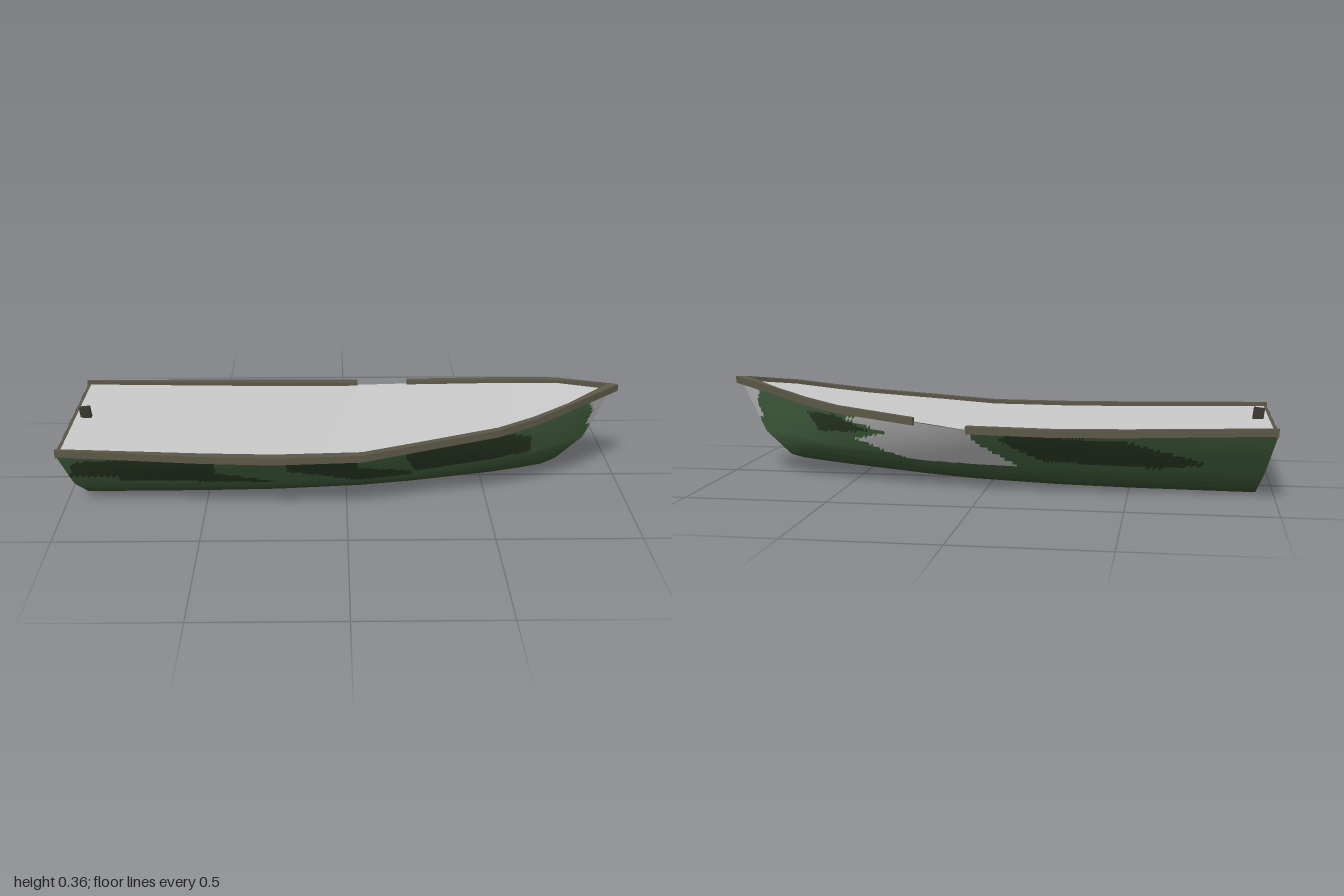
import * as THREE from 'three';

// Sheet through rows of [x, y, z] points, smooth or faceted
function loft(rows, flat = false) {
  const C = rows[0].length, index = [];
  for (let r = 0; r < rows.length - 1; r++)
    for (let c = 0; c < C - 1; c++) {
      const a = r * C + c;
      index.push(a, a + 1, a + C, a + 1, a + C + 1, a + C);
    }
  let g = new THREE.BufferGeometry();
  g.setAttribute('position', new THREE.Float32BufferAttribute(rows.flat(2), 3));
  g.setIndex(index);
  if (flat) g = g.toNonIndexed();
  g.computeVertexNormals();
  return g;
}

function mesh(geometry, color, name) {
  const m = new THREE.Mesh(geometry, new THREE.MeshStandardMaterial({ color, side: THREE.DoubleSide }));
  m.name = name;
  return m;
}

function inside(poly, x, y) {
  let hit = false;
  for (let i = 0, j = poly.length - 1; i < poly.length; j = i++) {
    const [xi, yi] = poly[i], [xj, yj] = poly[j];
    if ((yi > y) !== (yj > y) && x < ((xj - xi) * (y - yi)) / (yj - yi) + xi) hit = !hit;
  }
  return hit;
}

// Stations from stern to bow; each is bottom, bilge and sheer as [x, y, half width]
const stations = [
  [[-0.94, 0.002, 0.12], [-0.962, 0.09, 0.235], [-1, 0.245, 0.325]],
  [[-0.5, 0.006, 0.125], [-0.5, 0.093, 0.242], [-0.5, 0.232, 0.338]],
  [[-0.25, 0.011, 0.127], [-0.25, 0.097, 0.245], [-0.25, 0.228, 0.342]],
  [[0.05, 0.022, 0.122], [0.05, 0.103, 0.24], [0.05, 0.231, 0.333]],
  [[0.24, 0.034, 0.112], [0.24, 0.115, 0.218], [0.24, 0.25, 0.297]],
  [[0.53, 0.055, 0.085], [0.53, 0.138, 0.172], [0.53, 0.278, 0.236]],
  [[0.64, 0.062, 0.065], [0.65, 0.152, 0.135], [0.66, 0.298, 0.188]],
  [[0.72, 0.066, 0.042], [0.76, 0.165, 0.085], [0.79, 0.322, 0.124]],
  [[0.78, 0.07, 0], [0.875, 0.155, 0], [0.97, 0.348, 0]],
];

// Painted patches as [x, y] outlines on each side
const darkLeft = [
  [[-0.97, 0.13], [-0.95, 0.2], [-0.8, 0.22], [-0.8, 0.13]],
  [[-0.8, 0.11], [-0.8, 0.22], [-0.46, 0.22], [-0.46, 0.1]],
  [[-0.46, 0.1], [-0.46, 0.15], [-0.25, 0.1]],
  [[-0.21, 0.16], [-0.21, 0.22], [0.04, 0.22], [0.04, 0.1]],
  [[0.04, 0.1], [0.04, 0.17], [0.23, 0.13], [0.23, 0.11]],
  [[0.2, 0.22], [0.24, 0.13], [0.66, 0.16], [0.66, 0.23], [0.55, 0.27], [0.35, 0.25]],
];
const darkRight = [
  [[-0.05, 0.2], [-0.2, 0.12], [-0.6, 0.1], [-0.78, 0.12], [-0.5, 0.2], [-0.1, 0.22]],
  [[0.42, 0.2], [0.62, 0.19], [0.66, 0.26], [0.55, 0.26]],
];
const greyRight = [
  [0.53, 0.25], [0.35, 0.2], [0.48, 0.17], [0.28, 0.1], [-0.12, 0.09], [0.03, 0.19], [0.05, 0.25], [0.24, 0.27],
];
const greyBow = [[0.86, 0.36], [0.9, 0.27], [0.88, 0.22], [0.92, 0.18], [1, 0.36]];

const GREY = 0xcccccc, GREEN = 0x4a6a46, DARK = 0x2f4029, OLIVE = 0x2c2a16, RAIL = 0x5c5848;

function paint(x, y, z, height) {
  if (inside(greyBow, x, y) || (z < 0 && inside(greyRight, x, y))) return GREY;
  if ((z > 0 ? darkLeft : darkRight).some((p) => inside(p, x, y))) return DARK;
  // Green fades to olive towards the bottom in narrow bands
  const t = Math.round(THREE.MathUtils.clamp(height / 0.65, 0, 1) * 12) / 12;
  return new THREE.Color(OLIVE).lerp(new THREE.Color(GREEN), t).getHex();
}

function buildHull() {
  const hull = new THREE.Group();
  hull.name = 'hull';
  // Coarse shell, sheer to sheer under the keel
  const rows = stations.map((s) => [
    ...[s[2], s[1], s[0]].map(([x, y, w]) => [x, y, w]),
    [s[0][0], s[0][1], 0],
    ...s.map(([x, y, w]) => [x, y, -w]),
  ]);
  const coarse = loft(rows), P = coarse.attributes.position, N = coarse.attributes.normal;
  const C = 7, U = 22, V = 10, R = (stations.length - 1) * U, W = (C - 1) * V + 1;
  const pos = [], nor = [];
  // Refine it so the paint has clean borders
  const sample = (attr, u, v, out) => {
    const r = Math.min(Math.floor(u), stations.length - 2), c = Math.min(Math.floor(v), C - 2);
    const at = (i, j) => new THREE.Vector3().fromBufferAttribute(attr, i * C + j);
    const a = at(r, c).lerp(at(r, c + 1), v - c), b = at(r + 1, c).lerp(at(r + 1, c + 1), v - c);
    out.push(...a.lerp(b, u - r).toArray());
  };
  for (let r = 0; r <= R; r++)
    for (let c = 0; c < W; c++) {
      sample(P, r / U, c / V, pos);
      sample(N, r / U, c / V, nor);
    }
  const byColor = new Map();
  for (let r = 0; r < R; r++)
    for (let c = 0; c < W - 1; c++) {
      const a = r * W + c;
      const height = Math.abs(c + 0.5 - (W - 1) / 2) / ((W - 1) / 2);
      for (const tri of [[a, a + 1, a + W], [a + 1, a + W + 1, a + W]]) {
        const mid = [0, 1, 2].map((k) => tri.reduce((sum, i) => sum + pos[i * 3 + k], 0) / 3);
        const color = paint(...mid, height);
        if (!byColor.has(color)) byColor.set(color, []);
        byColor.get(color).push(...tri);
      }
    }
  const position = new THREE.Float32BufferAttribute(pos, 3);
  const normal = new THREE.Float32BufferAttribute(nor, 3);
  for (const [color, index] of byColor) {
    const g = new THREE.BufferGeometry();
    g.setAttribute('position', position);
    g.setAttribute('normal', normal);
    g.setIndex(index);
    hull.add(mesh(g, color, 'hullPaint'));
  }
  return hull;
}

// Rail outer edge [x, half width] at each station
const railOuter = [
  [-1, 0.327], [-0.5, 0.357], [-0.25, 0.365], [0.05, 0.352], [0.24, 0.312],
  [0.53, 0.252], [0.66, 0.203], [0.79, 0.136], [0.99, 0],
];

function buildRail(from, to, side, name) {
  const rows = [];
  for (let i = from; i <= to; i++) {
    const [sx, y, w] = stations[i][2], [ox, ow] = railOuter[i];
    const tip = i === stations.length - 1;
    const ix = tip ? 0.945 : sx, iw = tip ? 0 : w - 0.01;
    const top = y + 0.016, low = y - 0.01;
    rows.push([
      [ix, top, iw * side], [ox, top, ow * side], [ox, low, ow * side], [ix, low, iw * side], [ix, top, iw * side],
    ]);
  }
  // Close both ends on their centres
  const cap = (row) => {
    const c = [0, 1, 2].map((k) => (row[0][k] + row[2][k]) / 2);
    return row.map(() => c);
  };
  const all = [cap(rows[0]), ...rows, cap(rows[rows.length - 1])];
  return mesh(loft(side > 0 ? all : all.map((r) => [...r].reverse()), true), RAIL, name);
}

export function createModel() {
  const boat = new THREE.Group();
  boat.name = 'boat';
  boat.add(buildHull());

  // Flat deck following the sheer
  const deck = stations.map((s) => [-1, 1].map((k) => [s[2][0], s[2][1] + 0.002, s[2][2] * k]));
  boat.add(mesh(loft(deck), GREY, 'deck'));

  // Raked stern panel
  const transom = [1, -1].map((k) => stations[0].map(([x, y, w]) => [x, y, w * k]));
  boat.add(mesh(loft(transom, true), GREY, 'transom'));

  // Rails; the right one is broken by a gap amidships
  const last = stations.length - 1;
  boat.add(buildRail(0, last, 1, 'leftRail'));
  boat.add(buildRail(0, 3, -1, 'rightSternRail'));
  boat.add(buildRail(4, last, -1, 'rightBowRail'));

  // Edge strip across the stern and the small post on it
  const strip = mesh(new THREE.BoxGeometry(0.012, 0.018, 0.65), RAIL, 'sternStrip');
  strip.position.set(-0.993, 0.239, 0);
  const post = mesh(new THREE.BoxGeometry(0.038, 0.045, 0.02), 0x3a382e, 'sternPost');
  post.position.set(-0.95, 0.262, 0);
  post.rotation.z = 0.12;
  boat.add(strip, post);
  return boat;
}
